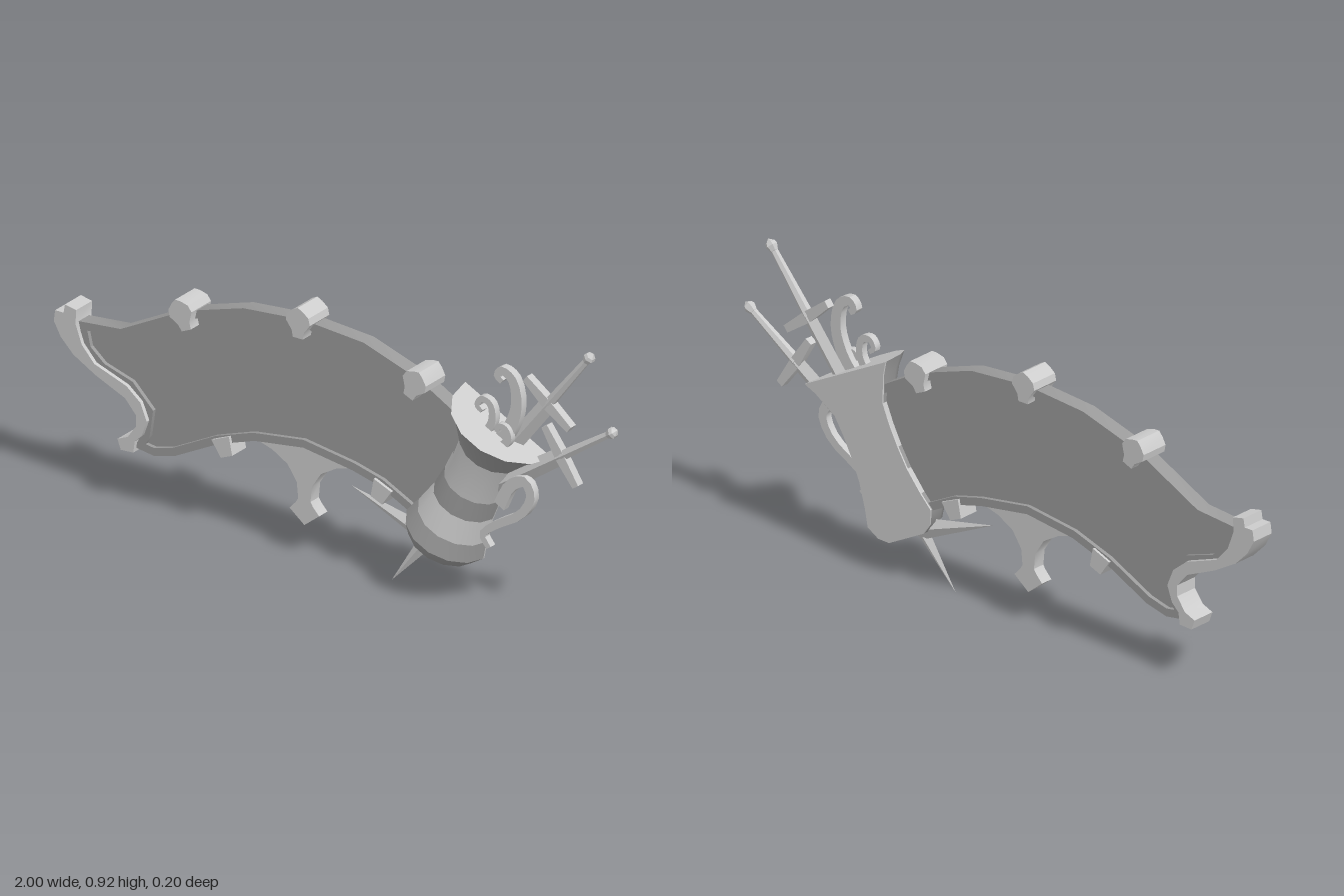
import * as THREE from 'three';
import { toCreasedNormals } from 'three/addons/utils/BufferGeometryUtils.js';

const light = new THREE.MeshStandardMaterial({ color: 0xcccccc, side: THREE.DoubleSide });
const dark = new THREE.MeshStandardMaterial({ color: 0x9a9a9a, side: THREE.DoubleSide });
const V2 = (p) => new THREE.Vector2(p[0], p[1]);

function mesh(name, geo, mat = light, crease = 0.6) {
  const m = new THREE.Mesh(toCreasedNormals(geo, crease), mat);
  m.name = name;
  return m;
}

// Flat outline pushed from z0 to z1
function slab(name, pts, z0, z1, mat = light, hole) {
  const shape = new THREE.Shape(pts.map(V2));
  if (hole) shape.holes.push(new THREE.Path(hole.map(V2)));
  const geo = new THREE.ExtrudeGeometry(shape, { depth: z1 - z0, bevelEnabled: false });
  geo.translate(0, 0, z0);
  return mesh(name, geo, mat);
}

// Outline moved inward by d (counter-clockwise points)
function inset(pts, d) {
  const n = pts.length;
  return pts.map((p, i) => {
    const a = V2(pts[(i + n - 1) % n]), b = V2(p), c = V2(pts[(i + 1) % n]);
    const e = b.clone().sub(a).normalize(), f = c.sub(b).normalize();
    const n1 = new THREE.Vector2(-e.y, e.x), m = n1.clone().add(new THREE.Vector2(-f.y, f.x)).normalize();
    m.multiplyScalar(d / Math.max(0.5, m.dot(n1)));
    return [b.x + m.x, b.y + m.y];
  });
}

// Curved strip whose half width runs from w0 to w1
function ribbon(name, path, w0, w1, z0, z1, steps = 18) {
  const curve = new THREE.CatmullRomCurve3(path.map((p) => new THREE.Vector3(p[0], p[1], 0)));
  const a = [], b = [];
  for (let i = 0; i <= steps; i++) {
    const p = curve.getPoint(i / steps), t = curve.getTangent(i / steps);
    const w = w0 + (w1 - w0) * i / steps;
    a.push([p.x - t.y * w, p.y + t.x * w]);
    b.unshift([p.x + t.y * w, p.y - t.x * w]);
  }
  return slab(name, a.concat(b), z0, z1);
}

function buildBoard() {
  const g = new THREE.Group();
  g.name = 'board';
  const outline = [
    [-0.72, 0.195], [-0.65, 0.185], [-0.575, 0.205], [-0.42, 0.285], [-0.29, 0.33], [-0.115, 0.355],
    [0.06, 0.33], [0.16, 0.305], [0.3, 0.235], [0.43, 0.4], [0.47, 0.59], [0.3, 0.685], [0.1, 0.75],
    [-0.115, 0.765], [-0.33, 0.745], [-0.54, 0.68], [-0.77, 0.56], [-0.92, 0.545], [-0.9, 0.46],
    [-0.84, 0.41], [-0.74, 0.38], [-0.68, 0.32], [-0.69, 0.25],
  ];
  g.add(slab('panel', inset(outline, 0.015), -0.067, -0.041, dark));
  g.add(slab('panelRim', outline, -0.08, -0.028, dark, inset(outline, 0.025)));

  // Scrolled end piece
  g.add(slab('scrollEnd', [
    [-0.995, 0.565], [-0.965, 0.565], [-0.96, 0.593], [-0.92, 0.585], [-0.922, 0.54], [-0.9, 0.48],
    [-0.855, 0.43], [-0.74, 0.39], [-0.69, 0.35], [-0.667, 0.295], [-0.685, 0.245], [-0.71, 0.22],
    [-0.715, 0.183], [-0.76, 0.18], [-0.772, 0.212], [-0.735, 0.228], [-0.705, 0.27], [-0.705, 0.305],
    [-0.745, 0.35], [-0.85, 0.395], [-0.93, 0.44], [-0.975, 0.485], [-1, 0.53],
  ], -0.095, -0.015));

  // Mushroom-shaped clamps on the top edge
  const cap = [
    [-0.018, -0.05], [0.018, -0.05], [0.022, -0.028], [0.043, 0], [0.038, 0.022], [0.018, 0.038],
    [0, 0.047], [-0.018, 0.038], [-0.038, 0.022], [-0.043, 0], [-0.022, -0.028],
  ];
  for (const [x, y, r] of [[-0.115, 0.767, 0], [-0.535, 0.68, 0.42], [0.3, 0.68, -0.42]]) {
    const clamp = slab('topClamp', cap, -0.098, 0);
    clamp.position.set(x, y, 0);
    clamp.rotation.z = r;
    g.add(clamp);
  }
  // Small wedge clamps on the bottom edge
  const wedge = [[-0.022, -0.03], [0.022, -0.03], [0.034, 0.028], [-0.034, 0.028]];
  for (const [x, y, r] of [[-0.395, 0.285, 0.4], [0.165, 0.29, -0.4]]) {
    const clamp = slab('bottomClamp', wedge, -0.088, -0.018);
    clamp.position.set(x, y, 0);
    clamp.rotation.z = r;
    g.add(clamp);
  }
  // Hanging finial
  const half = [
    [0.175, 0.335], [0.115, 0.317], [0.06, 0.285], [0.027, 0.235], [0.022, 0.185], [0.03, 0.172], [0.053, 0.147],
  ];
  const right = half.map(([x, y]) => [x - 0.115, y]);
  const left = half.map(([x, y]) => [-x - 0.115, y]).reverse();
  g.add(slab('finial', [[-0.115, 0.362], ...right, [-0.115, 0.105], ...left], -0.075, -0.033));
  return g;
}

// Half tankard with a flat back
function buildMug() {
  const g = new THREE.Group();
  g.name = 'mug';
  const bands = [
    ['mugBase', dark, [[0, -0.516], [0.075, -0.516], [0.112, -0.495], [0.136, -0.455], [0.12, -0.4]]],
    ['lowerBody', light, [[0.12, -0.4], [0.103, -0.32]]],
    ['mugBand', dark, [[0.103, -0.32], [0.098, -0.25]]],
    ['upperBody', light, [[0.098, -0.25], [0.098, -0.18], [0.103, -0.115]]],
    ['mugRim', dark, [[0.103, -0.115], [0.147, -0.035], [0.175, 0]]],
    ['mugTop', light, [[0.175, 0], [0, 0]]],
  ];
  const side = [];
  for (const [name, mat, pts] of bands) {
    const m = mesh(name, new THREE.LatheGeometry(pts.map(V2), 7, -Math.PI / 2, Math.PI), mat);
    m.scale.z = 1.1;
    g.add(m);
    side.push(...pts.slice(1));
  }
  side.pop();
  const back = side.concat(side.map(([x, y]) => [-x, y]).reverse());
  g.add(slab('mugBack', back, -0.003, 0.002));
  g.position.set(0.577, 0.607, -0.087);
  g.rotation.z = -0.476;
  return g;
}

// Sword along local y: pommel at the top, guard at y = 0
function buildSword(name, pommel, guard, bladeLength, z) {
  const g = new THREE.Group();
  g.name = name;
  const dx = pommel[0] - guard[0], dy = pommel[1] - guard[1], L = Math.hypot(dx, dy);
  const head = mesh('pommel', new THREE.LatheGeometry(
    [[0, -0.045], [0.012, -0.04], [0.019, -0.022], [0.015, -0.012], [0, 0]].map(V2), 6), light, 0.3);
  head.position.y = L;
  const grip = mesh('grip', new THREE.CylinderGeometry(0.011, 0.017, L - 0.03, 6));
  grip.position.y = (L - 0.03) / 2;
  const bar = slab('guard', [[-0.1, -0.012], [0, -0.02], [0.1, -0.012], [0.1, 0.012], [0, 0.016], [-0.1, 0.012]], -0.013, 0.013);
  const blade = mesh('blade', new THREE.LatheGeometry(
    [[0, -bladeLength], [0.03, -bladeLength + 0.25], [0.026, 0]].map(V2), 4), light, 0.2);
  blade.scale.z = 0.6;
  g.add(head, grip, bar, blade);
  g.position.set(guard[0], guard[1], z);
  g.rotation.z = -Math.atan2(dx, dy);
  return g;
}

export function createModel() {
  const root = new THREE.Group();
  root.name = 'signBoard';
  root.add(buildBoard(), buildMug());

  root.add(buildSword('upperSword', [0.91, 0.925], [0.753, 0.725], 0.915, -0.047));
  root.add(buildSword('lowerSword', [0.995, 0.7], [0.797, 0.567], 0.45, -0.05));
  // Tip of the second blade, below the mug
  const tip = mesh('lowerBladeTip', new THREE.ConeGeometry(0.035, 0.3, 4), light, 0.2);
  tip.scale.z = 0.6;
  tip.position.set(0.18, 0.22, -0.055);
  tip.rotation.z = 1.26;
  root.add(tip);

  // Mug handle and the scrolls rising from the mug
  root.add(ribbon('mugHandle', [
    [0.59, 0.36], [0.63, 0.435], [0.68, 0.46], [0.703, 0.42], [0.67, 0.355], [0.57, 0.29], [0.53, 0.25], [0.553, 0.215],
  ], 0.02, 0.009, -0.045, -0.022));
  root.add(ribbon('largeScroll', [
    [0.59, 0.56], [0.64, 0.63], [0.665, 0.71], [0.65, 0.785], [0.613, 0.805], [0.595, 0.785], [0.612, 0.77],
  ], 0.024, 0.009, -0.03, -0.005));
  root.add(ribbon('middleScroll', [
    [0.55, 0.58], [0.582, 0.64], [0.575, 0.69], [0.545, 0.7], [0.528, 0.675], [0.545, 0.66],
  ], 0.014, 0.007, -0.02, 0.002));
  root.add(ribbon('smallScroll', [
    [0.61, 0.56], [0.645, 0.6], [0.635, 0.63], [0.61, 0.632], [0.603, 0.612],
  ], 0.014, 0.007, -0.01, 0.01));
  return root;
}
